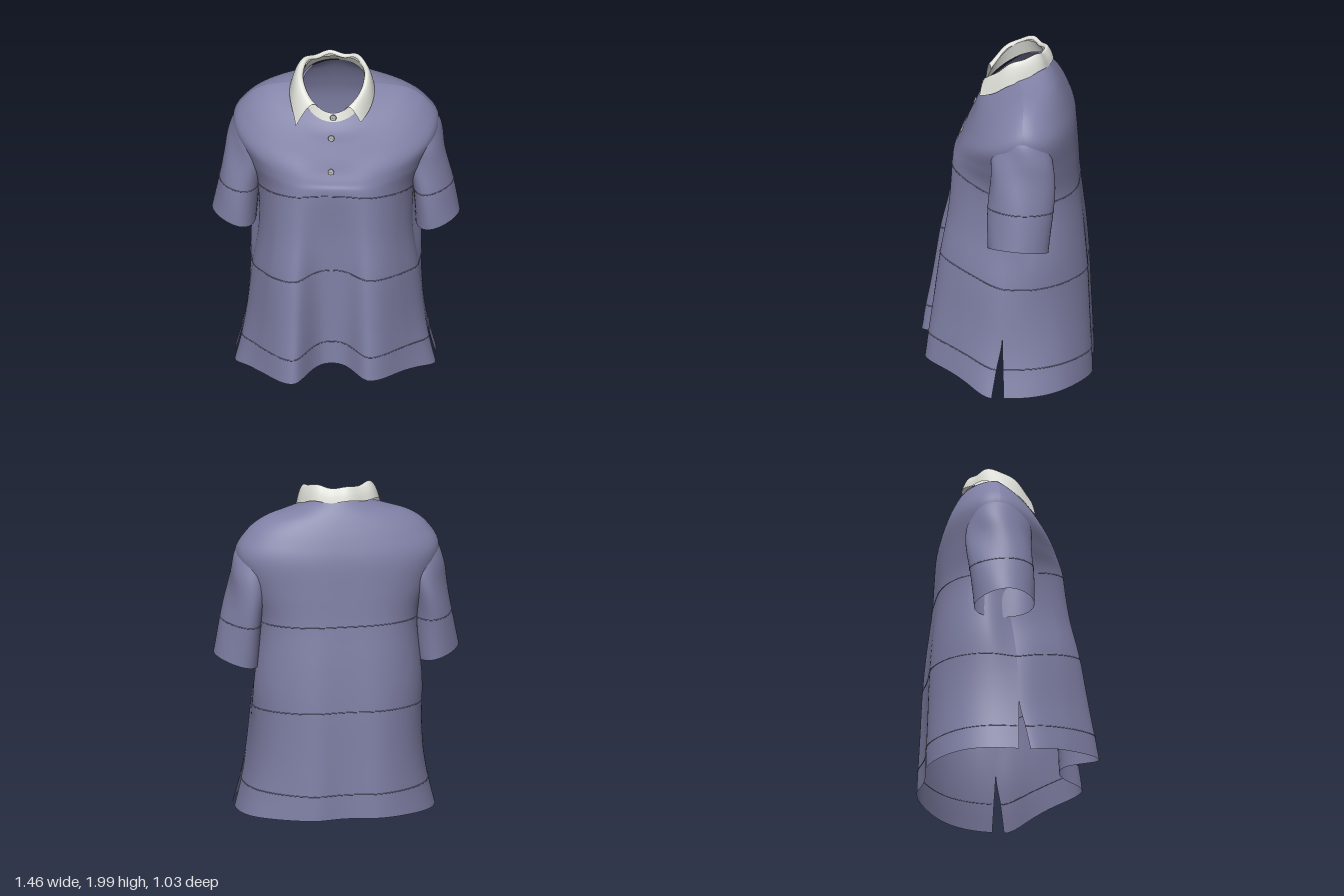
import * as THREE from 'three';

const mat = (name, color, side = THREE.DoubleSide) => {
  const m = new THREE.MeshStandardMaterial({ color, side });
  m.name = name;
  return m;
};

// Catmull-Rom blend between rows of numbers, t counted in rows
function blendRows(rows, t) {
  const i = Math.min(Math.floor(t), rows.length - 2), f = t - i;
  const row = k => rows[Math.max(0, Math.min(rows.length - 1, k))];
  const [a, b, c, d] = [row(i - 1), row(i), row(i + 1), row(i + 2)];
  return b.map((p, k) => {
    const m0 = (c[k] - a[k]) / 2, m1 = (d[k] - p) / 2;
    return p + m0 * f + (3 * (c[k] - p) - 2 * m0 - m1) * f * f
      + (2 * (p - c[k]) + m0 + m1) * f * f * f;
  });
}

// Grid surface; u runs round the ring, v runs down
function loft(nu, nv, point, closed = false) {
  const pos = [], idx = [], cols = closed ? nu : nu + 1;
  for (let i = 0; i <= nv; i++)
    for (let j = 0; j < cols; j++) pos.push(...point(j / nu, i / nv));
  for (let i = 0; i < nv; i++)
    for (let j = 0; j < nu; j++) {
      const a = i * cols + j, b = i * cols + (j + 1) % cols;
      idx.push(a, b, a + cols, b, b + cols, a + cols);
    }
  const g = new THREE.BufferGeometry();
  g.setAttribute('position', new THREE.Float32BufferAttribute(pos, 3));
  g.setIndex(idx);
  g.computeVertexNormals();
  return g;
}

// Fine raised seam along one row of a lofted surface
function seam(point, v, closed = false) {
  const pts = [], n = 48;
  for (let j = 0; j < (closed ? n : n + 1); j++) pts.push(new THREE.Vector3(...point(j / n, v)));
  return new THREE.TubeGeometry(new THREE.CatmullRomCurve3(pts, closed), 144, .003, 5, closed);
}

// Body rings: half width, side y, side z, front y, front z, back y, back z, front fold, back squareness, slit
const BODY = [
  [.19, 1.88, -.07, 1.75, .13, 1.93, -.24, 0, 1, 0],
  [.30, 1.855, -.10, 1.69, .17, 1.87, -.285, 0, .98, 0],
  [.43, 1.815, -.12, 1.62, .20, 1.80, -.325, 0, .93, 0],
  [.535, 1.735, -.12, 1.53, .24, 1.70, -.368, 0, .88, 0],
  [.605, 1.60, -.12, 1.46, .268, 1.58, -.402, .01, .85, 0],
  [.54, 1.40, -.11, 1.40, .295, 1.40, -.417, .02, .82, 0],
  [.465, 1.19, -.09, 1.33, .315, 1.20, -.43, .035, .8, 0],
  [.452, .92, -.04, 1.06, .298, .95, -.455, .09, .8, 0],
  [.488, .66, -.01, .80, .295, .69, -.472, .145, .8, 0],
  [.52, .36, 0, .50, .295, .40, -.48, .19, .8, 0],
  [.55, .18, 0, .30, .295, .19, -.485, .22, .8, .55],
  [.59, .015, 0, .15, .30, .045, -.487, .235, .8, 1],
];
const ROWS = BODY.length - 1;

// Drape bump centred at c, wider on its outer side
const bump = (x, c) => {
  const outer = Math.abs(x) > Math.abs(c) && x * c > 0;
  return Math.exp(-(((x - c) / (outer ? (c < 0 ? .205 : .19) : .11)) ** 2));
};

function bodyPoint(front) {
  return (u, v) => {
    const [w, ys, zs, yf, zf, yb, zb, fold, sq, slit] = blendRows(BODY, v * ROWS);
    const a = u * Math.PI, c = front ? Math.cos(a) : -Math.cos(a), s = Math.max(0, Math.sin(a));
    const e = front ? 1 : sq;
    // The back panel swells past the side seam below the arms
    const swell = front ? 0 : .12 * Math.exp(-(((v - .65) / .09) ** 2)) * Math.sin(Math.min(1, 3 * s) * Math.PI / 2);
    const x = w * (1 + swell) * Math.sign(c) * Math.abs(c) ** e, k = s ** e;
    const z0 = zs + slit * (front ? .06 : -.01);
    let z = z0 + ((front ? zf : zb) - z0) * k;
    if (front) z += fold * Math.min(1, s * 1.6) * (bump(x, -.24) + .8 * bump(x, .21));
    else z -= fold * s * (.13 * bump(x, -.2) + .16 * bump(x, .19));
    return [x, ys + ((front ? yf : yb) - ys) * s ** (1 + .5 * v), z];
  };
}

// Sleeve rings: y, centre x, radius x, centre z, radius z, hem tilt
const SLEEVE = [
  [1.69, .50, .03, -.12, .05, 0],
  [1.62, .508, .09, -.12, .13, 0],
  [1.51, .517, .113, -.12, .175, 0],
  [1.38, .533, .118, -.115, .188, 0],
  [1.19, .568, .12, -.105, .188, .01],
  [.95, .598, .13, -.095, .175, .035],
];

// Egg-shaped section, narrower on the outside of the arm
function sleevePoint(side) {
  return (u, v) => {
    const [y, cx, rx, cz, rz, tilt] = blendRows(SLEEVE, v * (SLEEVE.length - 1));
    const a = u * Math.PI * 2, c = Math.cos(a), s = Math.sin(a);
    const crease = 1 + .05 * Math.sin(3 * a + 9 * v) * Math.sin(Math.PI * v);
    return [
      side * cx + rx * c * crease,
      y + side * tilt * c + .012 * s * v,
      cz + rz * s * crease * (1 - .2 * side * c),
    ];
  };
}

// Collar stand: an upright band leaning inwards, high at the back and low at the front
const collarTop = s => 1.95 - .0925 * s - .0675 * s * s;
function standPoint(u, v) {
  const a = u * Math.PI * 2, s = Math.sin(a), top = collarTop(s);
  return [
    -.012 + (.178 + .02 * v) * Math.cos(a),
    top + (1.865 - .0925 * s - .0325 * s * s - top) * v,
    -.045 - .01 * v + (.165 + .03 * v) * s,
  ];
}

// Folded collar leaf: rolls over the stand and ends in two points at the front
const LEAF = [[0, 0], [.006, .014], [.024, .018], [.042, -.004], [.058, -.05], [.07, -.105]];
function leafPoint(u, v) {
  const [out, rise] = blendRows(LEAF, v * (LEAF.length - 1));
  const side = u < .5 ? 1 : -1, near = Math.abs(u - .5) * 2;       // near = 1 at the front ends
  const gap = (side > 0 ? .36 : .5) + .3 * v * near ** 4;
  const a = Math.PI / 2 - side * (gap + (Math.PI - gap) * (1 - near));
  const s = Math.sin(a), tip = near ** 6 * v * v;
  const wave = .007 * Math.sin(a * 7 + 1) * (1 - near ** 3);
  const drop = rise < 0 ? rise * (1 - .45 * Math.max(0, -s)) : rise;
  const r = out + tip * (side > 0 ? .035 : .045);
  return [
    -.012 + (.18 + r * (side > 0 ? .85 : 1.1)) * Math.cos(a),
    collarTop(s) + drop + wave + tip * (side > 0 ? .02 : -.045),
    -.045 + (.167 + r * .8 + wave) * s,
  ];
}

export function createModel() {
  const fabric = mat('blue grey fabric', 0x8080a6);
  const white = mat('off white collar', 0xdedfd8);
  const metal = mat('button grey', 0xa0a09c, THREE.FrontSide);
  const thread = mat('dark thread', 0x45454a, THREE.FrontSide);

  const model = new THREE.Group();
  model.name = 'shirt';
  const add = (name, geometry, material, parent = model) => {
    const m = new THREE.Mesh(geometry, material);
    m.name = name;
    parent.add(m);
    return m;
  };

  // Front and back, each crossed by a yoke seam, a waist seam and a hem seam
  for (const front of [true, false]) {
    const name = front ? 'front' : 'back', point = bodyPoint(front);
    add(name + 'Panel', loft(72, ROWS * 6, point), fabric);
    [['Yoke', 6], ['Waist', 8], ['Hem', 10]].forEach(([part, row]) =>
      add(name + part + 'Seam', seam(point, row / ROWS), fabric));
  }

  // Sleeves with a seam above the cuff
  for (const side of [1, -1]) {
    const name = side > 0 ? 'left' : 'right', point = sleevePoint(side);
    add(name + 'Sleeve', loft(48, 30, point, true), fabric);
    add(name + 'CuffSeam', seam(point, .8, true), fabric);
  }

  // Collar
  add('collarStand', loft(64, 4, standPoint, true), white);
  add('collarLeaf', loft(96, 15, leafPoint), white);

  // Buttons down the front, tipped to follow the chest
  for (const [x, y, z] of [[-.01, 1.77, .142], [-.02, 1.655, .188], [-.02, 1.47, .267]]) {
    const button = new THREE.Group();
    button.name = 'button';
    button.position.set(x, y, z);
    button.rotation.x = Math.PI / 2 - .42;
    add('buttonDisc', new THREE.CylinderGeometry(.017, .019, .012, 24), metal, button);
    for (const hx of [-.005, .005])
      add('buttonHole', new THREE.CylinderGeometry(.003, .003, .002, 8), thread, button)
        .position.set(hx, .006, 0);
    model.add(button);
  }
  return model;
}
